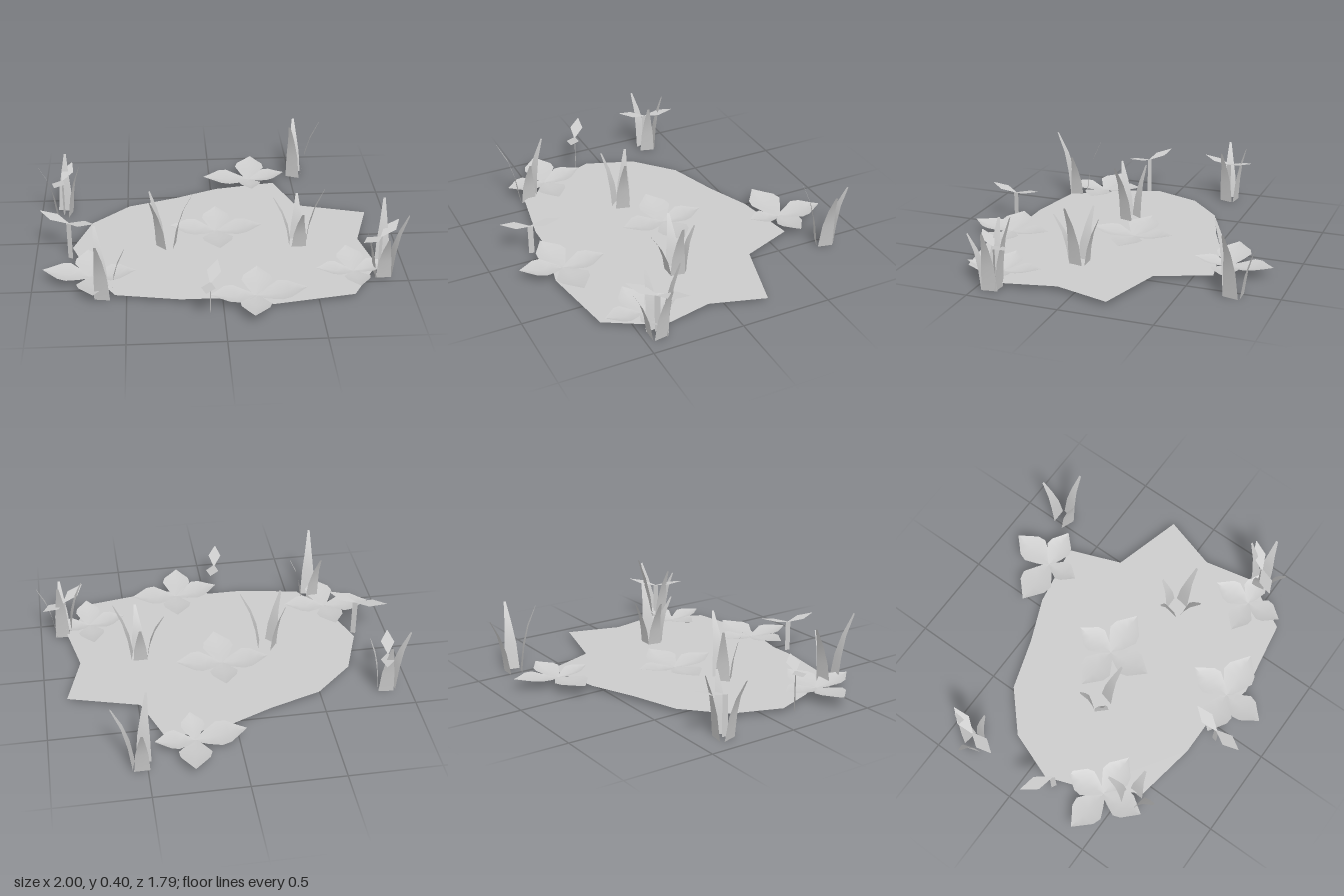
import * as THREE from 'three';

const paleGrey = new THREE.MeshStandardMaterial({ color: 0xcccccc, side: THREE.DoubleSide });
paleGrey.name = 'pale grey';

// Ribbon of three points per row; a row is [distance outward, height, half width, edge lift]
function ribbon(name, x, z, angle, rows) {
  const pos = [], index = [];
  const c = Math.cos(angle), s = Math.sin(angle);
  rows.forEach(([r, y, w, lift = 0], i) => {
    for (const k of [-1, 0, 1]) {
      pos.push(x + c * r - s * w * k, y + lift * Math.abs(k), z + s * r + c * w * k);
    }
    if (i === 0) return;
    for (let k = 0; k < 2; k++) {
      const a = (i - 1) * 3 + k, b = a + 3;
      index.push(a, a + 1, b, b, a + 1, b + 1);
    }
  });
  const geo = new THREE.BufferGeometry();
  geo.setAttribute('position', new THREE.Float32BufferAttribute(pos, 3));
  geo.setIndex(index);
  geo.computeVertexNormals();
  const mesh = new THREE.Mesh(geo, paleGrey);
  mesh.name = name;
  return mesh;
}

// Clump of blades bending outward; each tip is [x, z, height]
function reedClump(x, z, tips) {
  const group = new THREE.Group();
  group.name = 'reedClump';
  for (const [tx, tz, h] of tips) {
    const reach = Math.hypot(tx - x, tz - z);
    const r0 = Math.min(0.04, reach * 0.4), span = reach - r0;
    group.add(ribbon('reedBlade', x, z, Math.atan2(tz - z, tx - x), [
      [r0, 0, 0.042],
      [r0 + span * 0.2, h * 0.4, 0.034],
      [r0 + span * 0.5, h * 0.7, 0.02],
      [reach, h, 0.006],
    ]));
  }
  return group;
}

// Four cupped petals; each tip is [x, z]
function lily(x, z, tips) {
  const group = new THREE.Group();
  group.name = 'lily';
  for (const [tx, tz] of tips) {
    const len = Math.hypot(tx - x, tz - z), k = len / 0.25;
    group.add(ribbon('petal', x, z, Math.atan2(tz - z, tx - x), [
      [0, 0.032, 0.012 * k],
      [len * 0.22, 0.034, 0.05 * k, 0.008],
      [len * 0.46, 0.038, 0.086 * k, 0.02],
      [len * 0.64, 0.046, 0.076 * k, 0.016],
      [len * 0.82, 0.055, 0.038 * k, 0.008],
      [len, 0.066, 0.001],
    ]));
  }
  return group;
}

// Thin upright stem carrying two diamond leaves
function sprout(x, z, height, tips) {
  const group = new THREE.Group();
  group.name = 'sprout';
  const [a, b] = tips;
  const stem = new THREE.Mesh(new THREE.PlaneGeometry(0.03, height), paleGrey);
  stem.name = 'stem';
  stem.position.set(x, height / 2, z);
  stem.rotation.y = -Math.atan2(b[1] - a[1], b[0] - a[0]);
  group.add(stem);
  for (const [tx, tz] of tips) {
    const len = Math.hypot(tx - x, tz - z);
    group.add(ribbon('leaf', x, z, Math.atan2(tz - z, tx - x), [
      [0, height, 0.004],
      [len * 0.5, height + 0.018, 0.037],
      [len, height + 0.036, 0.001],
    ]));
  }
  return group;
}

export function createModel() {
  const model = new THREE.Group();
  model.name = 'pond';

  // Flat water sheet
  const outline = [
    [-0.49, -0.36], [-0.21, -0.45], [0.03, -0.55], [0.38, -0.61], [0.49, -0.32],
    [0.88, -0.21], [0.79, 0.09], [0.85, 0.37], [0.69, 0.65], [0.26, 0.72],
    [-0.04, 0.65], [-0.22, 0.65], [-0.56, 0.59], [-0.72, 0.32], [-0.8, 0.1], [-0.7, -0.17],
  ];
  const shape = new THREE.Shape(outline.map(([x, z]) => new THREE.Vector2(x, -z)));
  const water = new THREE.Mesh(new THREE.ShapeGeometry(shape).rotateX(-Math.PI / 2), paleGrey);
  water.name = 'water';
  water.position.y = 0.025;
  model.add(water);

  // Lilies
  model.add(
    lily(0, -0.035, [[0.01, -0.26], [0.26, -0.035], [0.01, 0.215], [-0.26, -0.05]]),
    lily(0.235, -0.65, [[0.265, -0.9], [0.45, -0.67], [0.24, -0.465], [-0.04, -0.635]]),
    lily(-0.69, 0.415, [[-0.71, 0.19], [-0.45, 0.415], [-0.67, 0.65], [-0.945, 0.385]]),
    lily(0.175, 0.645, [[0.195, 0.41], [0.44, 0.63], [0.147, 0.88], [-0.07, 0.68]]),
    lily(0.715, 0.433, [[0.7, 0.22], [0.9, 0.4], [0.72, 0.635], [0.51, 0.45]]),
  );

  // Reeds
  model.add(
    reedClump(-0.87, -0.34, [[-1, -0.3, 0.33], [-0.855, -0.44, 0.34], [-0.77, -0.31, 0.32]]),
    reedClump(0.53, -0.765, [[0.53, -0.9, 0.32], [0.67, -0.735, 0.37], [0.48, -0.64, 0.38]]),
    reedClump(-0.28, 0.095, [[-0.37, 0.03, 0.33], [-0.37, 0.18, 0.34], [-0.13, 0.135, 0.37]]),
    reedClump(0.45, 0.11, [
      [0.31, 0.085, 0.3], [0.45, 0, 0.28], [0.585, 0.135, 0.37], [0.455, 0.255, 0.28]]),
    reedClump(-0.62, 0.555, [[-0.66, 0.43, 0.35], [-0.505, 0.56, 0.28], [-0.645, 0.71, 0.385]]),
    reedClump(0.87, 0.42, [
      [0.88, 0.3, 0.4], [0.745, 0.43, 0.34], [1, 0.4, 0.34], [0.87, 0.55, 0.28]]),
  );

  // Sprouts
  model.add(
    sprout(-0.07, 0.73, 0.175, [[-0.025, 0.57], [-0.1, 0.89]]),
    sprout(-0.81, 0.165, 0.22, [[-0.97, 0.075], [-0.67, 0.245]]),
    sprout(-0.87, -0.33, 0.225, [[-0.82, -0.49], [-0.905, -0.17]]),
    sprout(0.855, 0.41, 0.225, [[0.97, 0.29], [0.74, 0.53]]),
  );
  return model;
}
